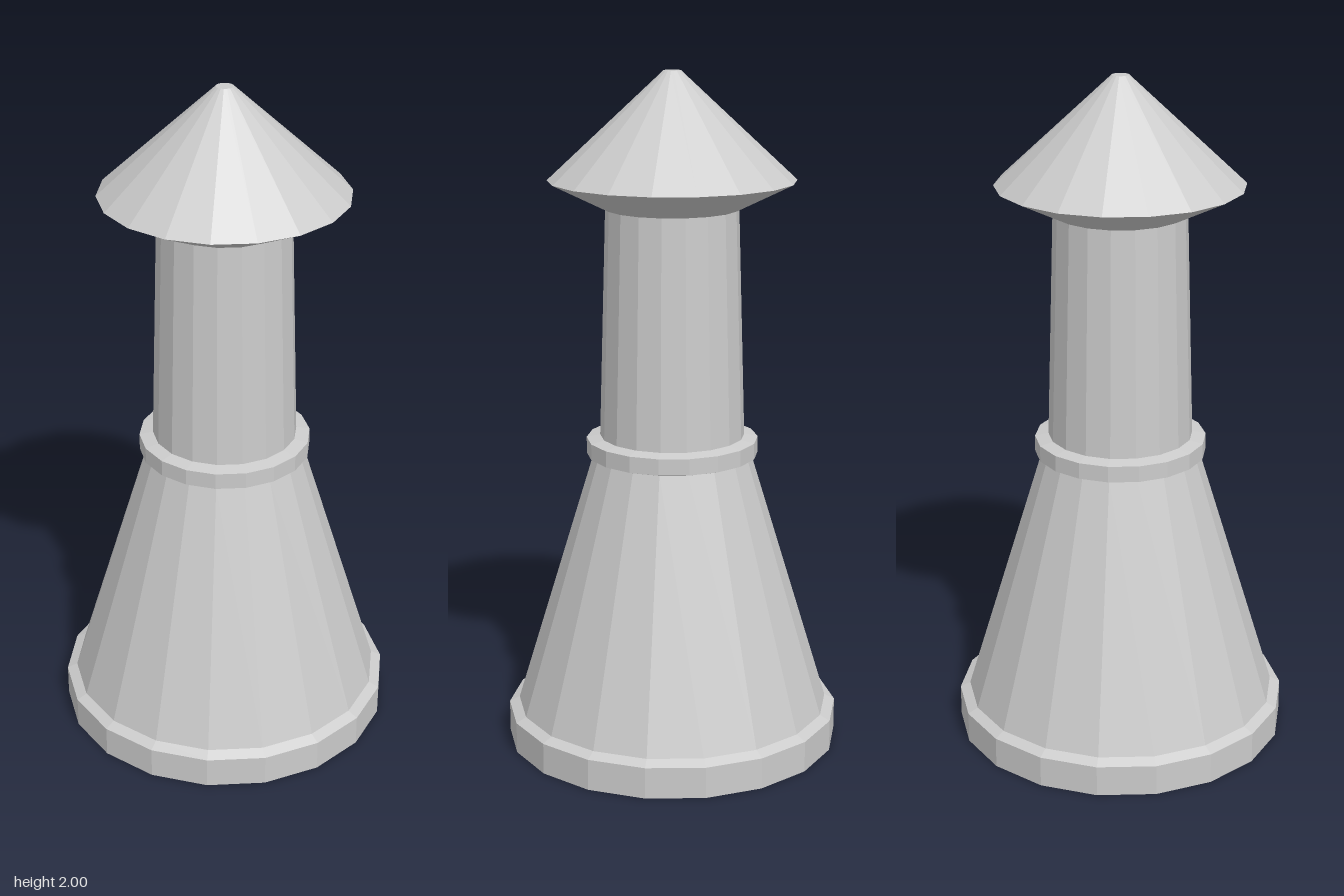
import * as THREE from 'three';

const SIDES = 18;

export function createModel() {
  const group = new THREE.Group();
  const material = new THREE.MeshStandardMaterial({ color: 0xcccccc, flatShading: true });

  // Each part is a faceted lathe of [radius, height] points, listed bottom to top
  const addPart = (name, profile) => {
    const points = profile.map(([r, y]) => new THREE.Vector2(r, y));
    const mesh = new THREE.Mesh(new THREE.LatheGeometry(points, SIDES), material);
    mesh.name = name;
    group.add(mesh);
  };

  // Plinth with a sloped upper rim
  addPart('base', [[0, 0], [0.497, 0], [0.497, 0.093], [0.467, 0.108]]);

  // Tapering skirt
  addPart('lowerBody', [[0.467, 0.108], [0.234, 0.876]]);

  // Collar between skirt and neck
  addPart('collar', [[0.234, 0.876], [0.253, 0.882], [0.253, 0.93], [0.213, 0.938]]);

  // Slim neck
  addPart('neck', [[0.213, 0.938], [0.193, 1.608]]);

  // Overhanging conical roof with a small flat tip
  addPart('roof', [[0.193, 1.608], [0.359, 1.69], [0.025, 2], [0, 2]]);

  return group;
}
